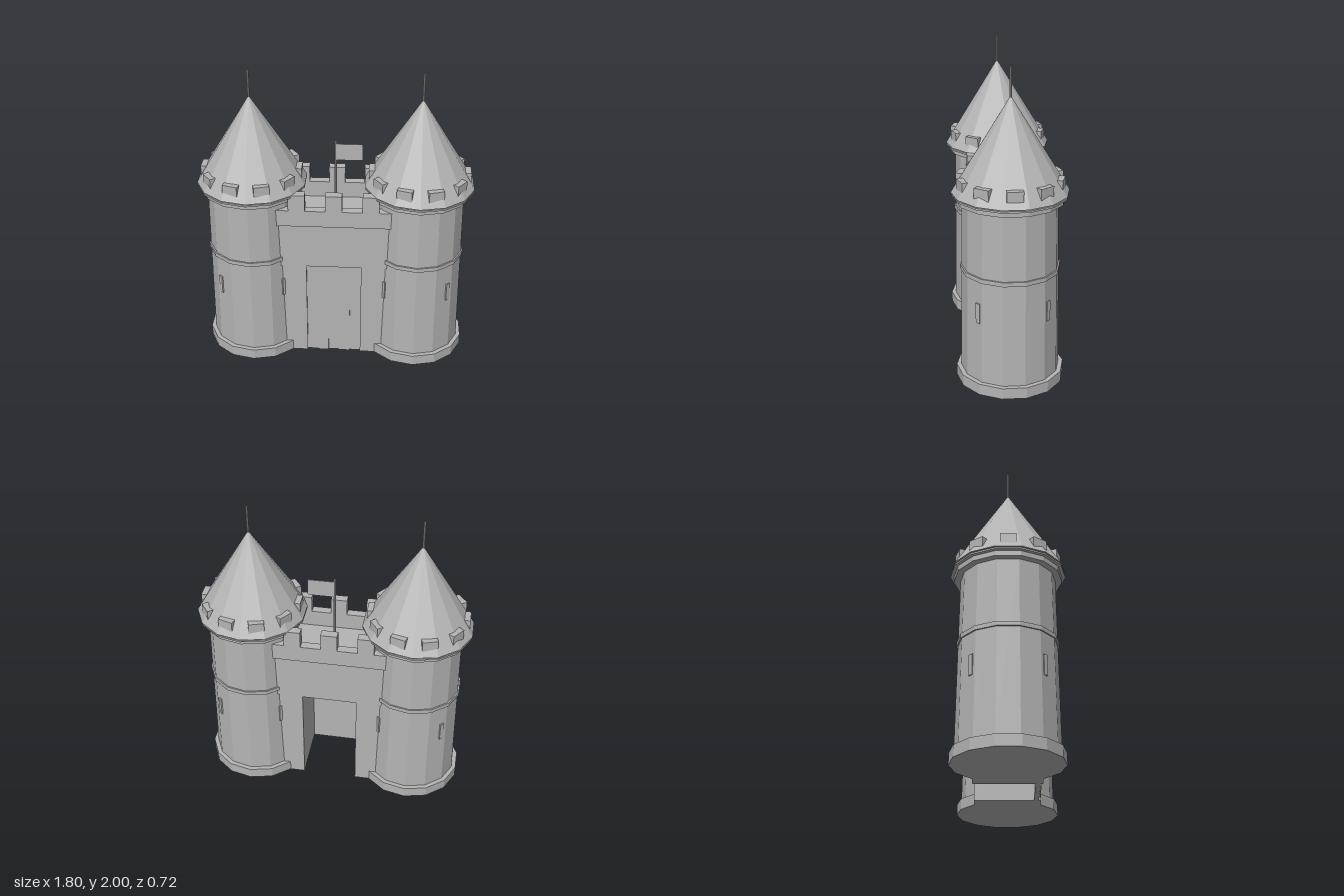
import * as THREE from 'three';

const stone = new THREE.MeshStandardMaterial({ color: 0xb4b4b4, flatShading: true });
stone.name = 'grey stone';

const SIDES = 14;

function add(parent, name, geometry, x = 0, y = 0, z = 0) {
  const mesh = new THREE.Mesh(geometry, stone);
  mesh.name = name;
  mesh.position.set(x, y, z);
  parent.add(mesh);
  return mesh;
}

// Upright drum between two heights
function drum(parent, name, rTop, rBottom, y0, y1, sides = SIDES) {
  return add(parent, name, new THREE.CylinderGeometry(rTop, rBottom, y1 - y0, sides), 0, (y0 + y1) / 2, 0);
}

// Box given by its limits on each axis
function block(parent, name, x0, x1, y0, y1, z0, z1) {
  return add(parent, name, new THREE.BoxGeometry(x1 - x0, y1 - y0, z1 - z0),
    (x0 + x1) / 2, (y0 + y1) / 2, (z0 + z1) / 2);
}

// Boxes set in a circle, each facing outwards
function ringOfBoxes(parent, name, count, start, radius, y, width, height, depth) {
  for (let i = 0; i < count; i++) {
    const a = start + (i / count) * Math.PI * 2;
    const box = add(parent, name, new THREE.BoxGeometry(width, height, depth),
      Math.sin(a) * radius, y, Math.cos(a) * radius);
    box.rotation.y = a;
  }
}

function createTower(name, x) {
  const tower = new THREE.Group();
  tower.name = name;
  tower.position.x = x;
  drum(tower, 'towerBase', 0.342, 0.342, 0, 0.073);
  drum(tower, 'towerBody', 0.296, 0.313, 0.073, 1.2);
  drum(tower, 'towerBand', 0.312, 0.312, 0.742, 0.77);
  drum(tower, 'towerCornice', 0.338, 0.338, 1.192, 1.225);
  drum(tower, 'towerPlatform', 0.36, 0.36, 1.225, 1.236);
  ringOfBoxes(tower, 'towerMerlon', 10, Math.PI / 2, 0.305, 1.289, 0.1, 0.112, 0.05);
  ringOfBoxes(tower, 'arrowSlit', 4, Math.PI / 4, 0.298, 0.533, 0.03, 0.13, 0.02);
  // Conical roof, just clear of the platform
  add(tower, 'towerRoof', new THREE.ConeGeometry(0.362, 0.588, SIDES), 0, 1.243 + 0.294, 0);
  drum(tower, 'roofSpire', 0.007, 0.007, 1.8, 2, 8);
  return tower;
}

export function createModel() {
  const model = new THREE.Group();
  model.name = 'castleGatehouse';

  model.add(createTower('leftTower', 0.548), createTower('rightTower', -0.548));

  const gate = new THREE.Group();
  gate.name = 'gatehouse';
  model.add(gate);

  // Piers beside the passage, and the wall bridging them
  block(gate, 'leftPier', 0.182, 0.45, 0, 0.705, -0.215, 0.215);
  block(gate, 'rightPier', -0.45, -0.182, 0, 0.705, -0.215, 0.215);
  block(gate, 'gateWall', -0.48, 0.48, 0.705, 1.02, -0.222, 0.222);

  // Parapets with merlons, front and back
  for (const s of [-1, 1]) {
    const z0 = Math.min(s * 0.173, s * 0.231);
    const z1 = z0 + 0.058;
    block(gate, 'parapet', -0.45, 0.45, 1.018, 1.133, z0, z1);
    for (const x of [-0.24, 0, 0.24]) {
      block(gate, 'wallMerlon', x - 0.054, x + 0.054, 1.133, 1.245, z0, z1);
    }
  }

  // Plank door at the front of the passage
  const planks = 5;
  const width = 0.364 / planks;
  for (let i = 0; i < planks; i++) {
    const x = -0.182 + i * width;
    block(gate, 'doorPlank', x, x + width, 0, 0.705, 0.17, i % 2 ? 0.208 : 0.2);
  }

  // Flag on the deck
  drum(gate, 'flagPole', 0.008, 0.008, 1.02, 1.526, 8);
  block(gate, 'flag', 0.005, 0.176, 1.392, 1.507, -0.003, 0.003);

  return model;
}
